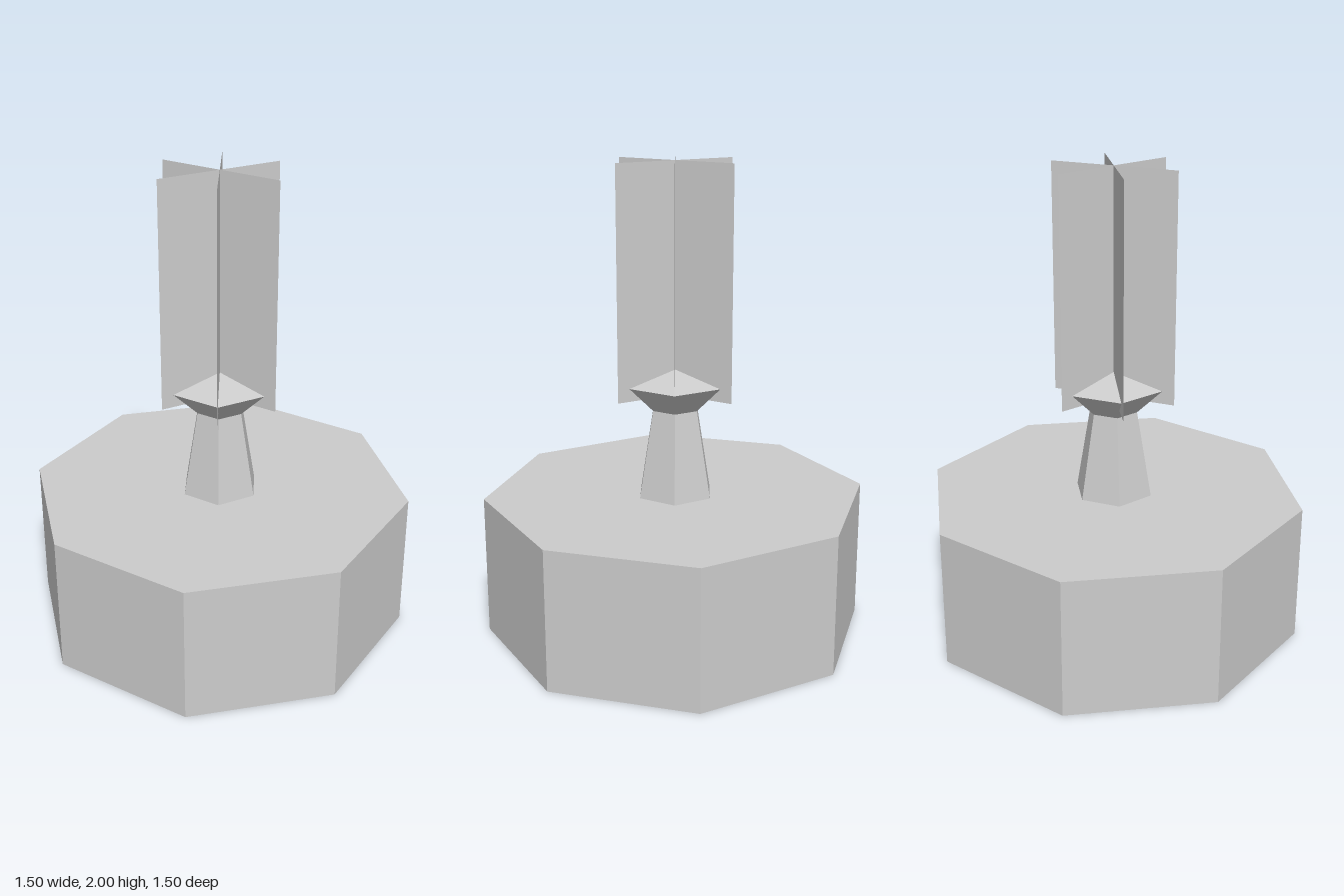
import * as THREE from 'three';

export function createModel() {
  const model = new THREE.Group();
  model.name = 'finnedPedestal';

  const grey = new THREE.MeshStandardMaterial({ color: 0xcccccc, flatShading: true, side: THREE.DoubleSide });
  grey.name = 'lightGrey';

  function add(name, geometry, y, parent = model) {
    const mesh = new THREE.Mesh(geometry, grey);
    mesh.name = name;
    mesh.position.y = y;
    parent.add(mesh);
    return mesh;
  }

  // Upright prism or frustum between two heights, turned by half a side
  function frustum(name, topRadius, bottomRadius, y0, y1, sides, open = false) {
    const geometry = new THREE.CylinderGeometry(topRadius, bottomRadius, y1 - y0, sides, 1, open, Math.PI / sides);
    return add(name, geometry, (y0 + y1) / 2);
  }

  // Octagonal base, flat sides facing the axes
  frustum('base', 0.75 / Math.cos(Math.PI / 8), 0.75 / Math.cos(Math.PI / 8), 0, 0.6, 8);

  // Tapered hexagonal stem with a flared collar and a shallow pointed cap
  frustum('stem', 0.105, 0.17, 0.6, 0.975, 6, true);
  frustum('collar', 0.215, 0.105, 0.975, 1.085, 6, true);
  frustum('cap', 0, 0.215, 1.085, 1.14, 6, true);

  // Three flat upright panels crossing on the axis
  const panels = new THREE.Group();
  panels.name = 'crossedPanels';
  model.add(panels);
  for (let i = 0; i < 3; i++) {
    const panel = add('panel' + (i + 1), new THREE.PlaneGeometry(0.535, 0.97), 1.515, panels);
    panel.rotation.y = i * Math.PI / 3;
  }

  return model;
}
